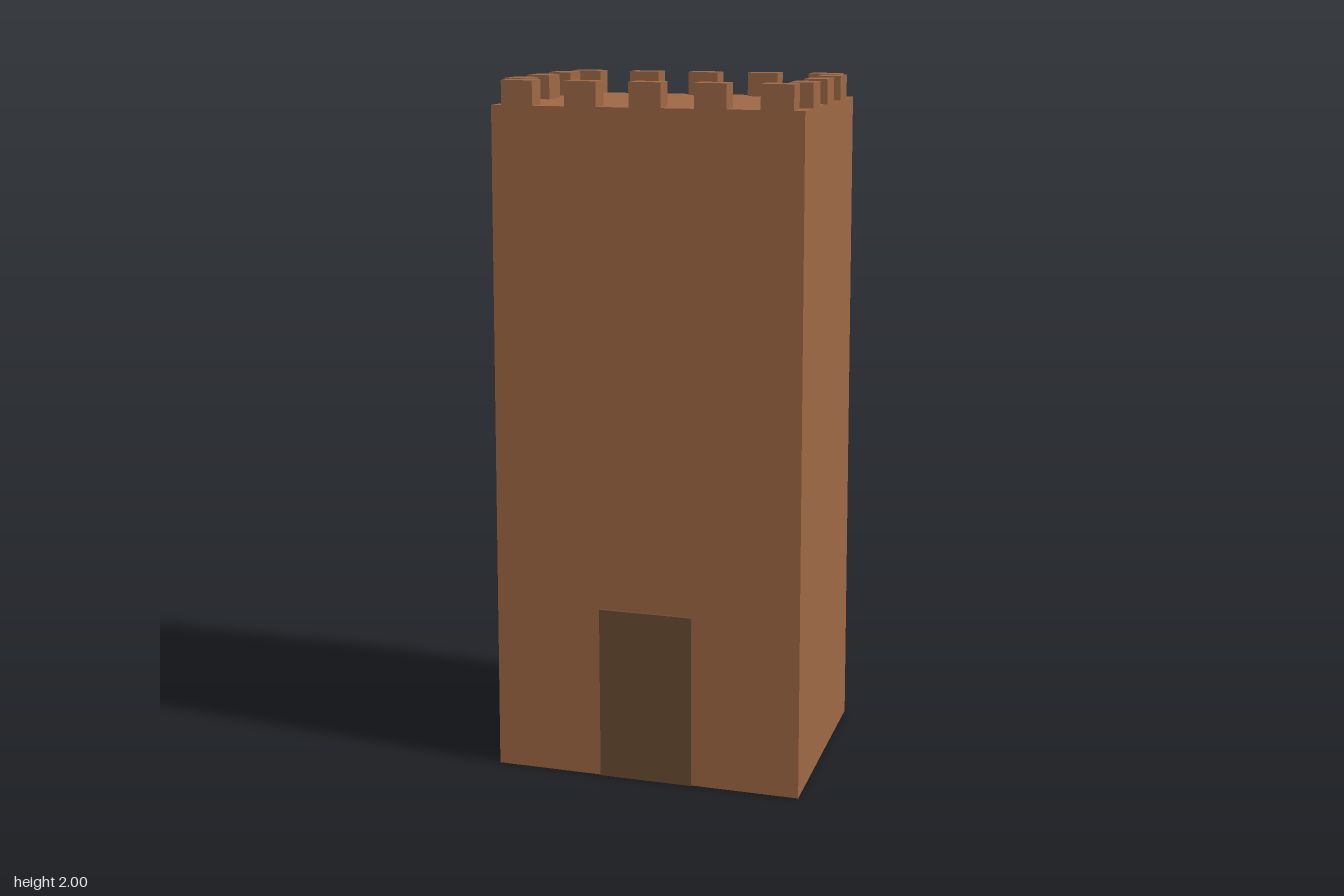
import * as THREE from 'three';

const WALL_TOP = 1.932, MERLON_W = 0.09, MERLON_D = 0.067, STEP = 0.1825;
const TOP_X = 0.44, TOP_Z = 0.3275, CENTRE_Z = -0.0025;

export function createModel() {
  const stone = new THREE.MeshStandardMaterial({ color: 0x9e6845 });
  stone.name = 'brownStone';
  const wood = new THREE.MeshStandardMaterial({ color: 0x6b4c33 });
  wood.name = 'darkWood';

  const model = new THREE.Group();
  model.name = 'tower';

  const addBox = (parent, name, material, size, position) => {
    const mesh = new THREE.Mesh(new THREE.BoxGeometry(...size), material);
    mesh.name = name;
    mesh.position.set(...position);
    parent.add(mesh);
    return mesh;
  };

  // Tower body: a box whose upper corners lean slightly inwards
  const body = addBox(model, 'towerBody', stone, [0.906, WALL_TOP, 0.68], [0, WALL_TOP / 2, CENTRE_Z]);
  const pos = body.geometry.attributes.position;
  for (let i = 0; i < pos.count; i++) {
    if (pos.getY(i) > 0) {
      pos.setX(i, Math.sign(pos.getX(i)) * TOP_X);
      pos.setZ(i, Math.sign(pos.getZ(i)) * TOP_Z);
    }
  }
  body.geometry.computeVertexNormals();

  // Battlements: five merlons on front and back, three on each side
  const battlements = new THREE.Group();
  battlements.name = 'battlements';
  model.add(battlements);
  const height = 2 - WALL_TOP, y = WALL_TOP + height / 2;
  for (const side of [-1, 1]) {
    for (let i = -2; i <= 2; i++) {
      addBox(battlements, side > 0 ? 'frontMerlon' : 'backMerlon', stone,
        [MERLON_W, height, MERLON_D],
        [i * STEP, y, CENTRE_Z + side * (TOP_Z - MERLON_D / 2)]);
    }
    for (let i = -1; i <= 1; i++) {
      addBox(battlements, side > 0 ? 'leftMerlon' : 'rightMerlon', stone,
        [MERLON_D, height, MERLON_W],
        [side * (TOP_X - MERLON_D / 2), y, CENTRE_Z + i * STEP]);
    }
  }

  // Door: a thin upright plate on the front wall
  addBox(model, 'door', wood, [0.274, 0.51, 0.009], [0, 0.255, 0.3375]);

  return model;
}
